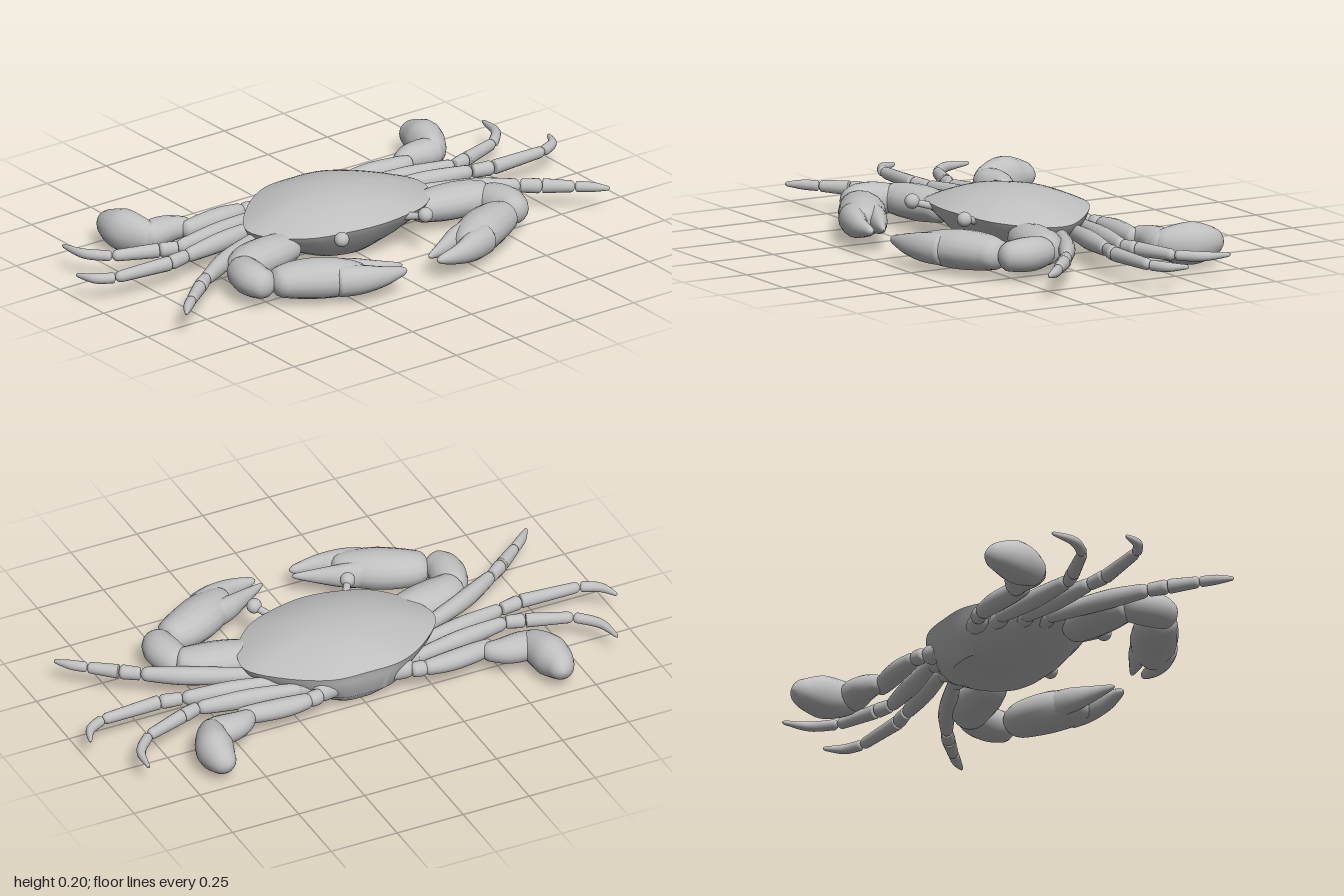
import * as THREE from 'three';
import { toCreasedNormals } from 'three/addons/utils/BufferGeometryUtils.js';

const shellGrey = new THREE.MeshStandardMaterial({ color: 0xc0c0c0 });
shellGrey.name = 'shellGrey';

// Grid of vertices (rows x cols, wrapping around) turned into a surface
function gridGeometry(positions, rows, cols, flip) {
  const index = [];
  for (let i = 0; i < rows - 1; i++) {
    for (let j = 0; j < cols; j++) {
      const k = (j + 1) % cols;
      const a = i * cols + j, b = i * cols + k, c = a + cols, d = b + cols;
      if (flip) index.push(a, b, c, b, d, c);
      else index.push(a, c, b, b, c, d);
    }
  }
  const g = new THREE.BufferGeometry();
  g.setAttribute('position', new THREE.Float32BufferAttribute(positions, 3));
  g.setIndex(index);
  g.computeVertexNormals();
  return g;
}

// Plump limb segment through points [x, y, z, halfWidth, halfHeight], rounded at both ends
function limb(name, s, pts, round = 0.12) {
  const path = new THREE.CatmullRomCurve3(pts.map(p => new THREE.Vector3(p[0] * s, p[1], p[2])));
  const size = new THREE.CatmullRomCurve3(pts.map((p, i) => new THREE.Vector3(p[3], p[4], i * 0.05)));
  const up = new THREE.Vector3(0, 1, 0), cols = 16, steps = 24, pos = [];
  for (let i = 0; i <= steps; i++) {
    // denser rings toward the ends
    const t = (1 - Math.cos(Math.PI * i / steps)) / 2;
    const e = Math.min(1, Math.min(t, 1 - t) / round);
    const k = Math.sqrt(Math.max(0, 1 - (1 - e) ** 2));
    const c = path.getPoint(t), r = size.getPoint(t);
    const side = path.getTangent(t).cross(up).normalize();
    for (let j = 0; j < cols; j++) {
      const a = j / cols * Math.PI * 2;
      const p = c.clone().addScaledVector(side, Math.cos(a) * r.x * k);
      pos.push(p.x, p.y + Math.sin(a) * r.y * k, p.z);
    }
  }
  const m = new THREE.Mesh(gridGeometry(pos, steps + 1, cols, false), shellGrey);
  m.name = name;
  return m;
}

// Domed carapace with a sharp rim and a flat, narrower belly
function carapace() {
  const half = [[0.362, -0.05], [0.335, 0.06], [0.235, 0.165], [0.11, 0.208]];
  const back = [[0.27, -0.175], [0.13, -0.268]];
  const flip = a => a.map(([x, z]) => [-x, z]).reverse();
  const outline = [...half, [0, 0.222], ...flip(half), ...flip(back).reverse(), [0, -0.28], ...[...back].reverse()];
  const curve = new THREE.CatmullRomCurve3(outline.map(([x, z]) => new THREE.Vector3(x, 0, z)), true);
  // rings: x scale, z scale, z centre, height, how much the rim droop applies
  const rings = [];
  for (let i = 0; i <= 10; i++) {
    const t = i / 10;
    rings.push([t, t, -0.03, 0.145 + 0.06 * (1 - t * t), t * t]);
  }
  rings.push([0.96, 0.96, -0.033, 0.118, 1], [0.72, 0.83, -0.058, 0.05, 0],
    [0.46, 0.61, -0.0625, 0, 0], [0, 0, -0.0625, 0, 0]);
  const cols = 64, pos = [];
  for (const [sx, sz, cz, y, droop] of rings) {
    for (let j = 0; j < cols; j++) {
      const p = curve.getPoint(j / cols);
      pos.push(p.x * sx, y - droop * 0.02 * (p.x / 0.36) ** 2, cz + (p.z + 0.03) * sz);
    }
  }
  const m = new THREE.Mesh(toCreasedNormals(gridGeometry(pos, rings.length, cols, true), 0.7), shellGrey);
  m.name = 'carapace';
  return m;
}

function eye(s) {
  const g = new THREE.Group();
  g.name = 'eye';
  const ball = new THREE.Mesh(new THREE.SphereGeometry(0.026, 20, 14), shellGrey);
  ball.name = 'eyeball';
  ball.position.set(s * 0.177, 0.146, 0.247);
  g.add(ball, limb('eyeStalk', s, [[0.13, 0.125, 0.17, 0.014, 0.014], [0.175, 0.143, 0.245, 0.012, 0.012]]));
  return g;
}

function clawArm(s) {
  const g = new THREE.Group();
  g.name = 'clawArm';
  g.add(
    limb('upperArm', s, [[0.24, 0.085, 0.07, 0.05, 0.045], [0.36, 0.085, 0.085, 0.075, 0.06], [0.46, 0.085, 0.105, 0.075, 0.06], [0.53, 0.085, 0.14, 0.05, 0.05]], 0.1),
    limb('wrist', s, [[0.505, 0.085, 0.11, 0.05, 0.045], [0.53, 0.085, 0.18, 0.063, 0.058], [0.537, 0.085, 0.24, 0.062, 0.058], [0.515, 0.082, 0.31, 0.045, 0.045]], 0.15),
    limb('palm', s, [[0.505, 0.082, 0.29, 0.05, 0.045], [0.43, 0.082, 0.305, 0.075, 0.062], [0.335, 0.082, 0.35, 0.082, 0.069], [0.25, 0.08, 0.40, 0.066, 0.058], [0.2, 0.08, 0.43, 0.03, 0.04]], 0.1),
    limb('fixedFinger', s, [[0.32, 0.08, 0.4, 0.05, 0.055], [0.24, 0.08, 0.435, 0.045, 0.052], [0.16, 0.08, 0.461, 0.029, 0.036], [0.065, 0.082, 0.468, 0.012, 0.012]], 0.07),
    limb('movingFinger', s, [[0.32, 0.082, 0.335, 0.045, 0.055], [0.23, 0.082, 0.355, 0.036, 0.046], [0.15, 0.082, 0.39, 0.024, 0.03], [0.055, 0.085, 0.43, 0.006, 0.008]], 0.07),
  );
  return g;
}

// Walking legs: joint positions from body to toe [x, z], the last three forming a curved toe
const legs = [
  ['frontLeg', [[0.29, -0.06], [0.52, 0.045], [0.665, 0.13], [0.725, 0.175], [0.81, 0.245], [0.855, 0.285], [0.895, 0.33]]],
  ['middleLeg', [[0.26, -0.125], [0.43, -0.095], [0.605, -0.065], [0.685, -0.05], [0.905, -0.06], [0.965, -0.095], [0.998, -0.16]]],
  ['rearLeg', [[0.21, -0.195], [0.4, -0.165], [0.585, -0.14], [0.65, -0.16], [0.805, -0.215], [0.87, -0.29], [0.888, -0.388]]],
];

function walkingLeg(s, name, p) {
  const g = new THREE.Group();
  g.name = name;
  const at = (i, w, h) => [p[i][0], 0.086, p[i][1], w, h];
  g.add(
    limb('thigh', s, [at(0, 0.022, 0.024), at(1, 0.03, 0.034), at(2, 0.021, 0.025)], 0.06),
    limb('knee', s, [at(2, 0.02, 0.024), at(3, 0.025, 0.027)], 0.2),
    limb('shin', s, [at(3, 0.023, 0.026), at(4, 0.018, 0.02)], 0.1),
    limb('toe', s, [at(4, 0.018, 0.019), at(5, 0.016, 0.017), at(6, 0.005, 0.007)], 0.07),
  );
  // small hip joint against the body
  g.add(limb('hip', s, [[p[0][0] - 0.06, 0.08, p[0][1] + 0.01, 0.03, 0.03], [p[0][0] + 0.04, 0.086, p[0][1] + 0.01, 0.028, 0.03]], 0.35));
  return g;
}

function swimmingLeg(s) {
  const g = new THREE.Group();
  g.name = 'swimmingLeg';
  g.add(
    limb('hip', s, [[0.1, 0.08, -0.22, 0.035, 0.035], [0.19, 0.085, -0.245, 0.032, 0.035]], 0.35),
    limb('upperJoint', s, [[0.17, 0.085, -0.255, 0.025, 0.026], [0.23, 0.085, -0.265, 0.03, 0.03]], 0.4),
    limb('thigh', s, [[0.21, 0.085, -0.265, 0.025, 0.026], [0.31, 0.085, -0.265, 0.036, 0.034], [0.41, 0.085, -0.255, 0.035, 0.034], [0.485, 0.085, -0.245, 0.025, 0.03]], 0.08),
    limb('shin', s, [[0.43, 0.085, -0.262, 0.022, 0.03], [0.51, 0.085, -0.29, 0.05, 0.045], [0.58, 0.083, -0.29, 0.055, 0.05], [0.635, 0.082, -0.275, 0.035, 0.04]], 0.12),
    limb('paddle', s, [[0.585, 0.082, -0.255, 0.035, 0.04], [0.615, 0.081, -0.315, 0.055, 0.065], [0.635, 0.081, -0.38, 0.066, 0.075], [0.64, 0.081, -0.44, 0.054, 0.058], [0.63, 0.081, -0.498, 0.03, 0.03]], 0.12),
  );
  return g;
}

export function createModel() {
  const crab = new THREE.Group();
  crab.name = 'crab';
  crab.add(carapace());
  for (const s of [1, -1]) {
    crab.add(eye(s), clawArm(s), swimmingLeg(s));
    for (const [name, path] of legs) crab.add(walkingLeg(s, name, path));
  }
  return crab;
}
